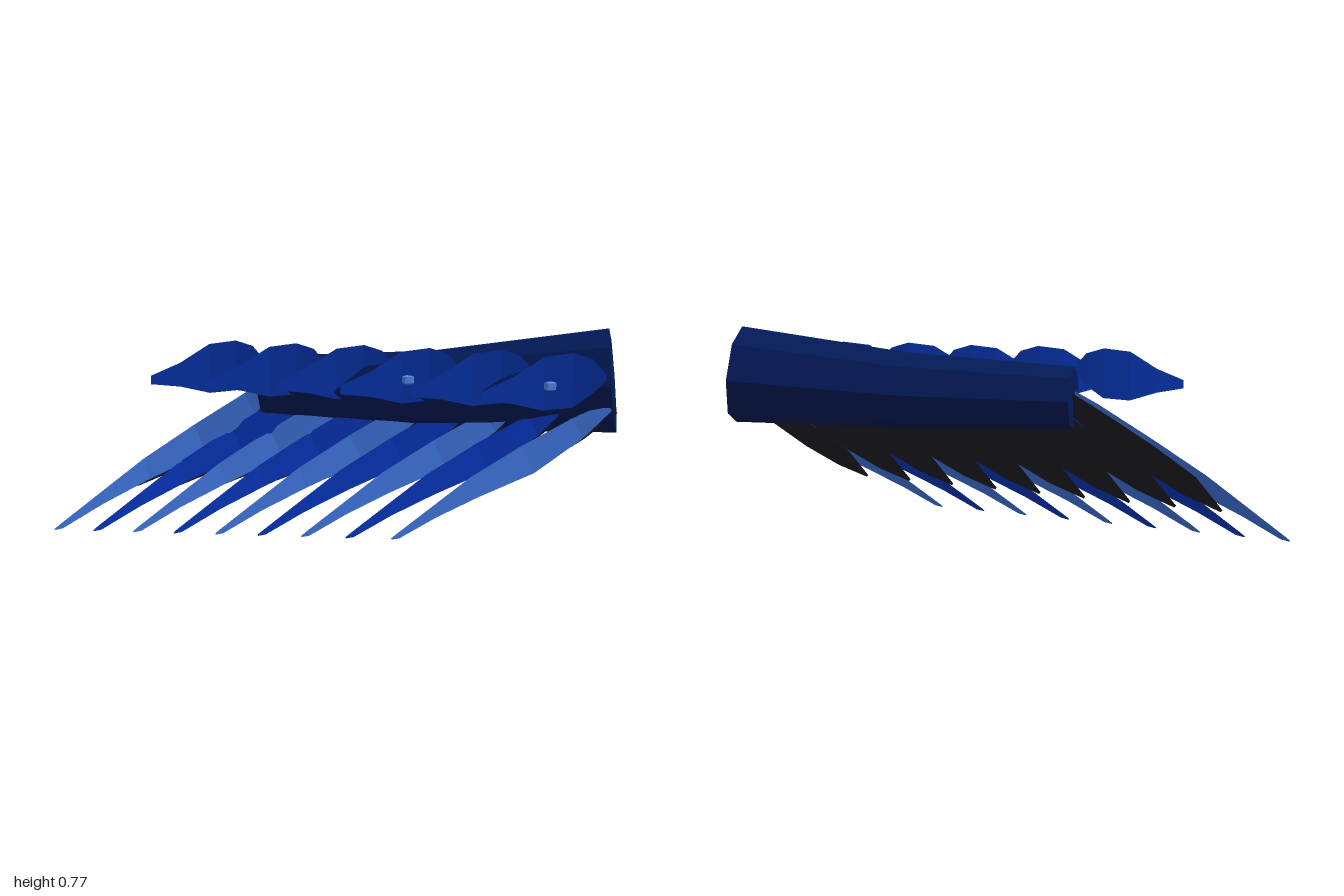
import * as THREE from 'three';

const mat = (name, color, double) => {
  const m = new THREE.MeshStandardMaterial({ color });
  m.name = name;
  m.flatShading = true;
  if (double) m.side = THREE.DoubleSide;
  return m;
};

const add = (group, name, geometry, material) => {
  const mesh = new THREE.Mesh(geometry, material);
  mesh.name = name;
  group.add(mesh);
  return mesh;
};

const fromTriangles = (points) => {
  const g = new THREE.BufferGeometry().setFromPoints(points);
  g.computeVertexNormals();
  return g;
};

// Thin sheet through a list of [lower, upper] point pairs
function sheet(pairs) {
  const tris = [];
  for (let i = 0; i < pairs.length - 1; i++) {
    const [a, d] = pairs[i], [b, c] = pairs[i + 1];
    tris.push(a, b, c, a, c, d);
  }
  return fromTriangles(tris);
}

// Octagonal limb that widens towards the shoulder, whose end is slightly tilted
function limbGeometry() {
  const sections = [
    { c: [-0.24, 0.54, 0.015], r: 0.11, ty: 0, tz: 0 },
    { c: [0.36, 0.55, -0.007], r: 0.137, ty: 0, tz: 0 },
    { c: [0.972, 0.6, -0.09], r: 0.175, ty: -0.1, tz: 0.145 },
  ];
  const point = (s, i) => {
    const a = (i * Math.PI) / 4;
    const dy = Math.cos(a) * s.r, dz = Math.sin(a) * s.r;
    return new THREE.Vector3(s.c[0] + s.ty * dy + s.tz * dz, s.c[1] + dy, s.c[2] + dz);
  };
  const tris = [];
  const [first, , last] = sections;
  for (let i = 0; i < 8; i++) {
    for (let k = 0; k < 2; k++) {
      const a = point(sections[k], i), b = point(sections[k], i + 1);
      const c = point(sections[k + 1], i), d = point(sections[k + 1], i + 1);
      tris.push(a, b, c, b, d, c);
    }
    tris.push(new THREE.Vector3(...last.c), point(last, i), point(last, i + 1));
    tris.push(new THREE.Vector3(...first.c), point(first, i + 1), point(first, i));
  }
  return fromTriangles(tris);
}

// Feather from tip to base; stations are [fraction along, lower and upper edge]
function featherGeometry(tip, base, stations, width, depthAt) {
  const dx = base[0] - tip[0], dy = base[1] - tip[1], len = Math.hypot(dx, dy);
  const point = (t, w) => {
    const y = tip[1] + dy * t + (dx / len) * w * width;
    return new THREE.Vector3(tip[0] + dx * t - (dy / len) * w * width, y, depthAt(y - tip[1]));
  };
  return sheet(stations.map(([t, lo, hi]) => [point(t, lo), point(t, hi)]));
}

// Upright curved scale from stations of [x, z, low y, high y]
function scaleGeometry() {
  const stations = [
    [0, 0.25, 0.555, 0.585], [0.09, 0.195, 0.544, 0.63], [0.18, 0.145, 0.52, 0.695],
    [0.27, 0.115, 0.53, 0.708], [0.33, 0.103, 0.575, 0.69], [0.375, 0.098, 0.62, 0.64],
  ];
  return sheet(stations.map(([x, z, lo, hi]) => [
    new THREE.Vector3(x, lo, z), new THREE.Vector3(x, hi, z),
  ]));
}

// Forward sweep of a long feather at a height above its tip
const sweep = [[0, 0.262], [0.18, 0.16], [0.27, 0.109], [0.405, 0.063], [0.65, 0.03]];
function sweepDepth(h) {
  let k = 0;
  while (k < sweep.length - 2 && h > sweep[k + 1][0]) k++;
  const [h0, z0] = sweep[k], [h1, z1] = sweep[k + 1];
  return z0 + (z1 - z0) * (h - h0) / (h1 - h0);
}

export function createModel() {
  const group = new THREE.Group();
  group.name = 'wing';
  const navy = mat('navy limb', 0x021a57);
  const scaleBlue = mat('scale blue', 0x0533aa, true);
  const lightBlue = mat('light feather blue', 0x4076e0, true);
  const deepBlue = mat('deep feather blue', 0x0636bc, true);
  const black = mat('under feather black', 0x1c1c22, true);
  const gemBlue = mat('stud blue', 0x4f88e6);

  add(group, 'limb', limbGeometry(), navy);

  // Long feathers in alternating blues, with shorter black ones behind
  const longStations = [
    [0, -0.002, 0.003], [0.03, -0.013, 0.007], [0.2, -0.018, 0.025], [0.39, -0.035, 0.045],
    [0.62, -0.065, 0.046], [0.85, -0.048, 0.036], [1, -0.016, 0.02],
  ];
  const underStations = [
    [0, -0.006, 0.004], [0.2, -0.036, 0.044], [0.45, -0.052, 0.045],
    [0.75, -0.052, 0.034], [1, -0.035, 0.02],
  ];
  for (let i = 0; i < 9; i++) {
    const tipX = 0.1625 * i, tipY = 0.0085 * i, width = 1 - 0.015 * i;
    const base = [-0.18 + 0.1462 * i, 0.57 - 0.005 * i];
    add(group, 'longFeather', featherGeometry(
      [-0.998 + tipX, 0.002 + tipY], base, longStations, width,
      (h) => sweepDepth(h) - 0.0034 * i * Math.max(0, 1 - h / 0.25),
    ), i % 2 ? deepBlue : lightBlue);
    add(group, 'underFeather', featherGeometry(
      [-0.765 + tipX, 0.15 + tipY], base, underStations, width,
      (h) => 0.053 - 0.001 * i - 0.13 * h,
    ), black);
  }

  // Overlapping row of scales
  const scale = scaleGeometry();
  for (let i = 0; i < 6; i++) {
    const m = add(group, 'scale', scale, scaleBlue);
    m.position.set(-0.604 + 0.2425 * i, 0, i % 2 ? 0 : -0.022);
  }

  // Small faceted studs on two of the scales
  for (const x of [0.32, 0.805]) {
    const stud = add(group, 'stud', new THREE.SphereGeometry(0.031, 6, 3), gemBlue);
    stud.position.set(x, 0.6, 0.126);
    stud.rotation.y = Math.PI / 6;
    stud.scale.y = 0.7;
  }
  return group;
}
